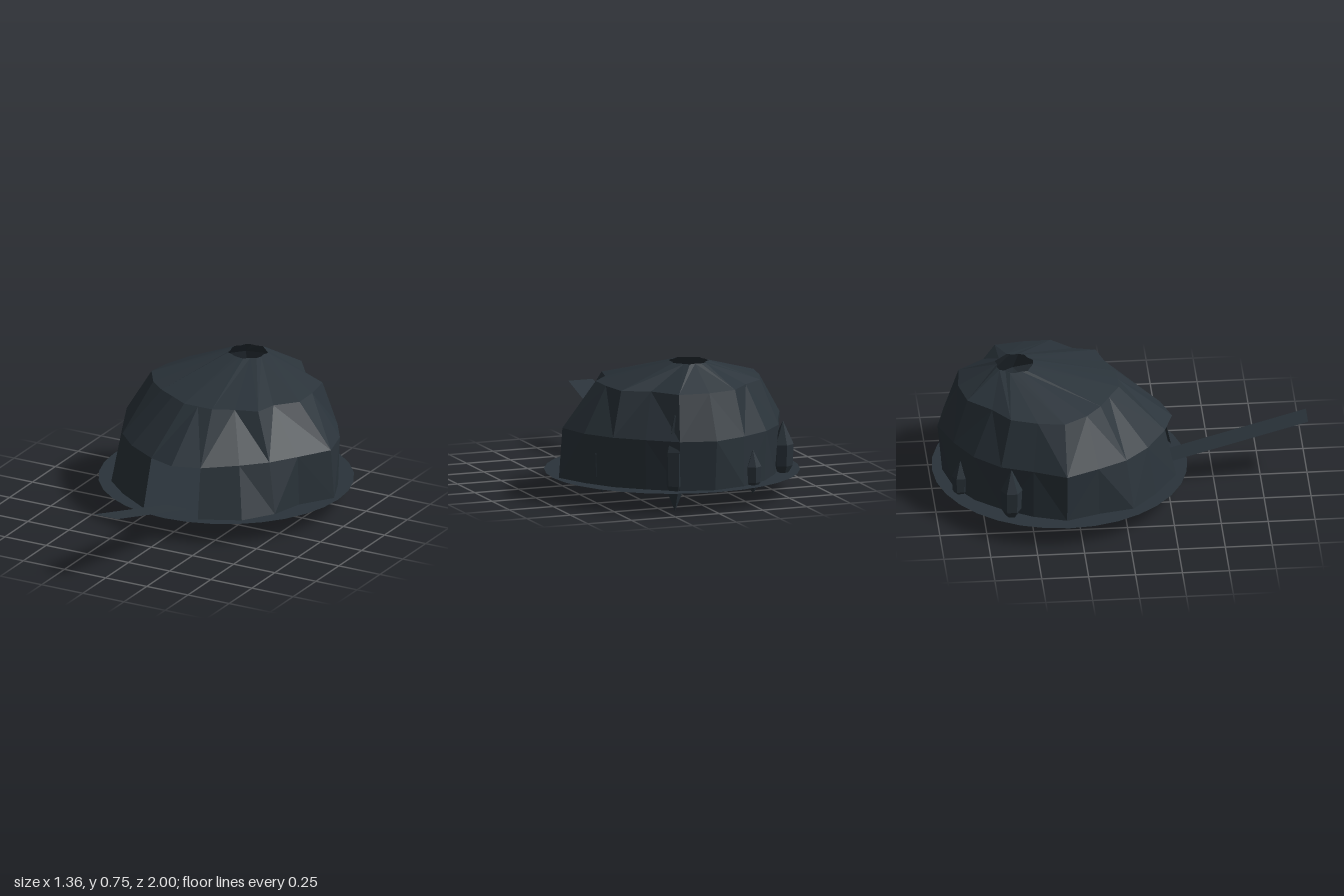
import * as THREE from 'three';

const mat = (name, color, side = THREE.DoubleSide) => {
  const m = new THREE.MeshStandardMaterial({ color, side, flatShading: true });
  m.name = name;
  return m;
};

const CZ = -0.33; // middle of the rock along z
const COLUMNS = 20;

// Radii per column, starting at the front and turning towards +x
const BASE = [.62, .64, .64, .60, .56, .65, .60, .58, .57, .60, .615, .60, .58, .56, .57, .60, .57, .62, .61, .64];
const EAVES = [.61, .58, .53, .53, .55, .63, .61, .59, .58, .62, .64, .60, .59, .58, .56, .61, .56, .56, .56, .58];
const SHOULDER = [.32, .33, .33, .39, .36, .44, .46, .51, .46, .54, .53, .52, .46, .48, .46, .46, .40, .35, .32, .33];
const RIM = Array.from({ length: COLUMNS }, (_, i) => 0.1 + 0.008 * Math.sin(i * 2.3));

// The columns beside the entrance stand closer to the middle
function columnAngle(i) {
  if (i === 1) return 0.26;
  if (i === COLUMNS - 1) return -0.26;
  return (i / COLUMNS) * Math.PI * 2;
}

function ring(radii, y, cz) {
  return radii.map((r, i) => {
    const a = columnAngle(i);
    return [Math.sin(a) * r, y, cz + Math.cos(a) * r];
  });
}

// Faceted band between two rings; columns listed in skip stay open
function band(lower, upper, skip = []) {
  const pos = [];
  for (let i = 0; i < COLUMNS; i++) {
    if (skip.includes(i)) continue;
    const j = (i + 1) % COLUMNS;
    const [a, b, c, d] = [lower[i], lower[j], upper[j], upper[i]];
    if (i % 2) pos.push(...a, ...b, ...c, ...a, ...c, ...d);
    else pos.push(...a, ...b, ...d, ...b, ...c, ...d);
  }
  const g = new THREE.BufferGeometry();
  g.setAttribute('position', new THREE.Float32BufferAttribute(pos, 3));
  g.computeVertexNormals();
  return g;
}

export function createModel() {
  const model = new THREE.Group();
  const rock = mat('dark slate rock', 0x2a333a);
  const ground = mat('dark grey ground', 0x2a333a);
  const plank = mat('slate ramp', 0x2b343b);
  const crystal = mat('slate crystal', 0x293239, THREE.FrontSide);

  const add = (name, geometry, material, x = 0, y = 0, z = 0, parent = model) => {
    const m = new THREE.Mesh(geometry, material);
    m.name = name;
    m.position.set(x, y, z);
    parent.add(m);
    return m;
  };

  // Hollow rock dome with a front entrance and an open crater on top
  const dome = new THREE.Group();
  dome.name = 'rockDome';
  model.add(dome);
  const base = ring(BASE, 0.12, CZ);
  const eaves = ring(EAVES, 0.39, CZ);
  const shoulder = ring(SHOULDER, 0.63, CZ);
  const rim = ring(RIM, 0.752, -0.56);
  add('lowerWall', band(base, eaves, [COLUMNS - 1, 0]), rock, 0, 0, 0, dome);
  add('upperWall', band(eaves, shoulder), rock, 0, 0, 0, dome);
  add('crown', band(shoulder, rim), rock, 0, 0, 0, dome);

  // Flat ground disc and the low plinth under it
  const disc = new THREE.CircleGeometry(0.68, 32).rotateX(-Math.PI / 2);
  add('groundDisc', disc, ground, 0, 0.121, -0.32);
  add('plinth', new THREE.CylinderGeometry(0.385, 0.385, 0.022, 32), ground, 0, 0.108, -0.34);

  // Thin ramp rising outwards from the entrance
  const rise = 0.225, run = 0.8;
  const ramp = new THREE.PlaneGeometry(0.14, Math.hypot(rise, run)).rotateX(-Math.PI / 2);
  add('entranceRamp', ramp, plank, 0, 0.13 + rise / 2, 0.2 + run / 2).rotation.x = -Math.atan2(rise, run);

  // Pointed crystals set into the back: x, z, bottom, top, radius
  const crystals = [
    [-0.515, -0.62, 0.07, 0.40, 0.058],
    [-0.245, -0.87, 0.07, 0.31, 0.045],
    [0.195, -0.855, 0.005, 0.53, 0.062],
    [0.49, -0.55, 0.07, 0.42, 0.058],
  ];
  for (const [x, z, bottom, top, r] of crystals) {
    const h = top - bottom;
    const profile = [[0, 0], [r * 0.9, 0.27 * h], [r, 0.62 * h], [0, h]].map((p) => new THREE.Vector2(...p));
    add('crystal', new THREE.LatheGeometry(profile, 6), crystal, x, bottom, z);
  }

  return model;
}
